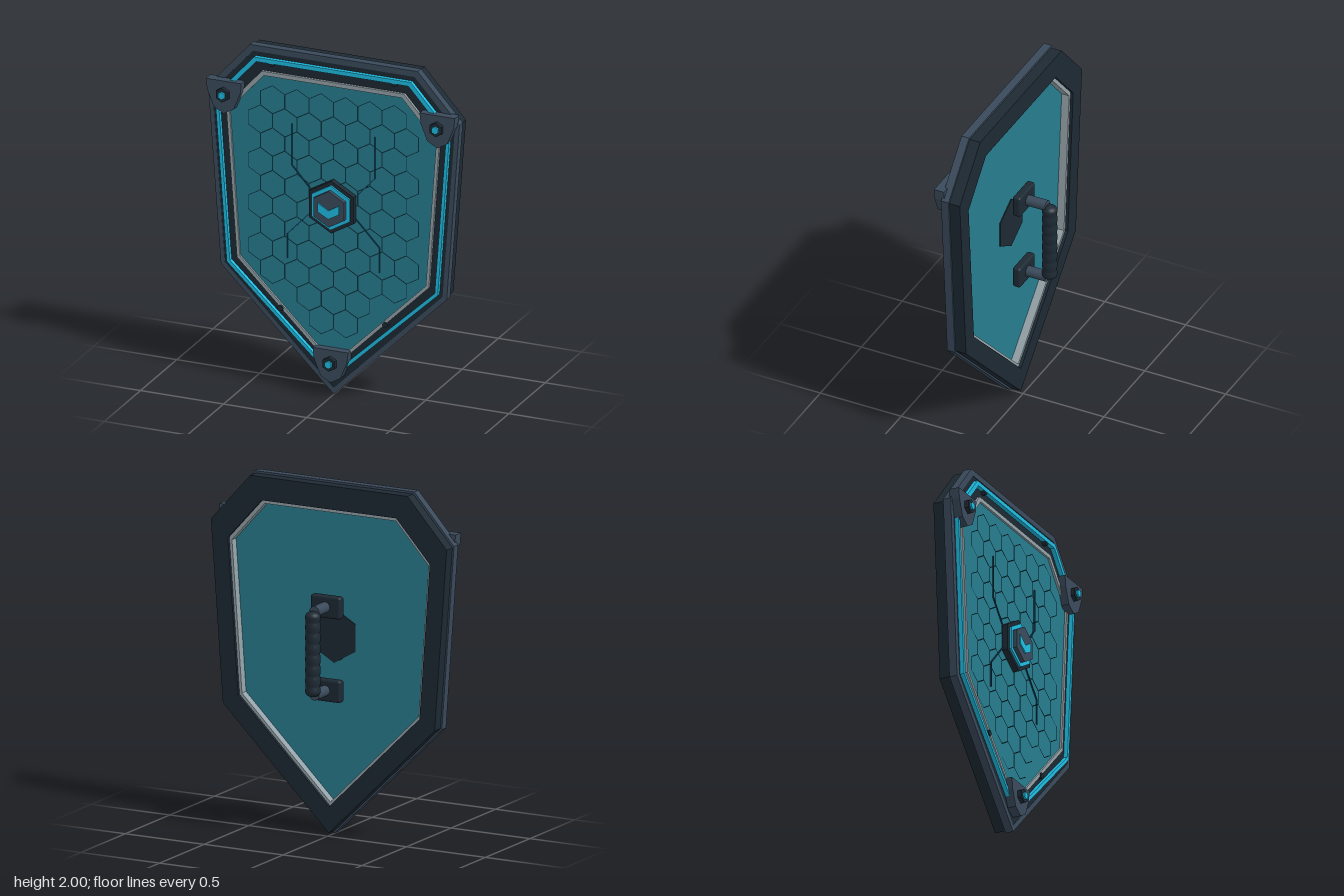
import * as THREE from 'three';
import { mergeGeometries } from 'three/addons/utils/BufferGeometryUtils.js';
import { RoundedBoxGeometry } from 'three/addons/geometries/RoundedBoxGeometry.js';

const mat = (name, color) => {
  const m = new THREE.MeshStandardMaterial({ color });
  m.name = name;
  return m;
};

// Half outline of the shield, mirrored about x = 0 and scaled about MID_Y
const MID_Y = 1.06;
const HALF = [[0.505, 2], [0.757, 1.72], [0.68, 0.67]];
const OUTLINE = [...HALF, [0, 0], ...HALF.map(([x, y]) => [-x, y]).reverse()];
const scaled = (s, lift = 0) => OUTLINE.map(([x, y]) =>
  new THREE.Vector2(x * s, MID_Y + (y - MID_Y) * s + (x === 0 ? lift : 0)));

const hexPoints = (r) => Array.from({ length: 6 }, (_, i) => {
  const a = Math.PI / 2 + (i * Math.PI) / 3;
  return new THREE.Vector2(r * Math.cos(a), r * Math.sin(a));
});

// Flat slab between two z depths; the hole runs against the outline so its walls face inward
function slab(points, z0, z1, hole) {
  const shape = new THREE.Shape(points);
  if (hole) shape.holes.push(new THREE.Path(hole.reverse()));
  return new THREE.ExtrudeGeometry(shape, { depth: z1 - z0, bevelEnabled: false }).translate(0, 0, z0);
}

export function createModel() {
  const model = new THREE.Group();
  model.name = 'shield';
  const steel = mat('blue grey steel', 0x3a4a5b);
  const dark = mat('dark frame', 0x1d2933);
  const cyan = mat('cyan glow', 0x1fbee4);
  const glass = mat('teal glass', 0x277d8f);
  const silver = mat('silver trim', 0x94a3a9);
  const line = mat('dark teal line', 0x0a3340);
  const trace = mat('deep blue trace', 0x0d425a);

  const add = (name, geometry, material, parent = model) => {
    const mesh = new THREE.Mesh(geometry, material);
    mesh.name = name;
    parent.add(mesh);
    return mesh;
  };
  const group = (name, x, y) => {
    const g = new THREE.Group();
    g.name = name;
    g.position.set(x, y, 0);
    model.add(g);
    return g;
  };

  // Nested layers of the body
  add('backFrame', slab(scaled(0.987), 0.013, 0.078, scaled(0.845)), dark);
  add('outerRim', slab(scaled(1), 0.078, 0.125, scaled(0.963)), steel);
  add('frontFrame', slab(scaled(0.963), 0.078, 0.122, scaled(0.845)), dark);
  add('glowStrip', slab(scaled(0.934, 0.03), 0.115, 0.146, scaled(0.907, 0.03)), cyan);
  add('innerTrim', slab(scaled(0.849), 0.03, 0.138, scaled(0.823)), silver);
  add('glassPanel', slab(scaled(0.826), 0.076, 0.126), glass);

  // Honeycomb lines on the glass
  const W = 0.1467, R = W / Math.sqrt(3), cells = [];
  for (let row = 0; row <= 10; row++) {
    const count = row % 2 ? 7 : 6, y = 1.695 - row * 0.1262;
    for (let i = 0; i < count; i++) {
      const x = (i - (count - 1) / 2) * W;
      if (Math.abs(x) - (y - 0.18) > -0.1) continue;
      cells.push(new THREE.RingGeometry(R - 0.004, R + 0.001, 6, 1, Math.PI / 2).translate(x, y, 0.13));
    }
  }
  add('honeycomb', mergeGeometries(cells), line);

  // Circuit traces running out from the hub
  const traces = [];
  const segment = (a, b) => {
    const dx = b[0] - a[0], dy = b[1] - a[1];
    traces.push(new THREE.BoxGeometry(Math.hypot(dx, dy) + 0.003, 0.006, 0.008)
      .rotateZ(Math.atan2(dy, dx)).translate((a[0] + b[0]) / 2, (a[1] + b[1]) / 2, 0.129));
  };
  for (const s of [-1, 1]) {
    for (const path of [
      [[0.25, 1.57], [0.25, 1.325], [0.12, 1.18]],
      [[0.277, 0.77], [0.277, 0.915], [0.11, 1.09]],
    ]) {
      const p = path.map(([x, y]) => [s * x, y]);
      segment(p[0], p[1]);
      segment(p[1], p[2]);
    }
  }
  add('circuitTraces', mergeGeometries(traces), trace);

  // Stepped hexagonal hub with a chevron
  const hub = group('hub', 0, 1.125);
  add('hubBase', slab(hexPoints(0.156), 0.071, 0.16), dark, hub);
  add('hubGlow', slab(hexPoints(0.132), 0.16, 0.172), cyan, hub);
  add('hubCap', slab(hexPoints(0.107), 0.172, 0.196), steel, hub);
  const chevron = [[-0.064, 0.032], [-0.064, -0.021], [0, -0.056], [0.064, -0.021], [0.064, 0.032], [0, -0.006]]
    .map(([x, y]) => new THREE.Vector2(x, y));
  add('chevron', slab(chevron, 0.196, 0.204), cyan, hub);

  // Corner plates with hexagonal bolts
  const plate = [[-0.106, 0.077], [-0.1, 0.015], [-0.06, -0.083], [0, -0.117],
    [0.06, -0.083], [0.1, 0.015], [0.106, 0.077]].map(([x, y]) => new THREE.Vector2(x, y));
  for (const [name, x, y] of [['leftCorner', 0.643, 1.7], ['rightCorner', -0.643, 1.7], ['bottomCorner', 0, 0.203]]) {
    const corner = group(name, x, y);
    add('cornerPlate', slab(plate, 0.11, 0.172), steel, corner);
    add('nut', slab(hexPoints(0.042), 0.172, 0.196), dark, corner);
    add('boltLight', slab(hexPoints(0.023), 0.196, 0.207), cyan, corner);
  }

  // Small rivets on the frame
  for (const s of [-1, 1]) {
    for (const [x, y] of [[0.315, 0.468], [0.37, 1.91]]) {
      add('rivet', new THREE.CylinderGeometry(0.017, 0.017, 0.03, 12).rotateX(Math.PI / 2)
        .translate(s * x, y, 0.128), dark);
    }
  }

  // Rear handle: pads, posts and a softly ribbed grip
  const handle = group('handle', 0, 1.07);
  for (const s of [-1, 1]) {
    add('mountPad', new RoundedBoxGeometry(0.19, 0.127, 0.05, 3, 0.015).translate(0, s * 0.237, -0.005), dark, handle);
    add('post', new THREE.CylinderGeometry(0.031, 0.031, 0.13, 20).rotateX(Math.PI / 2)
      .translate(0, s * 0.237, -0.085), steel, handle);
  }
  const HALF_GRIP = 0.244, profile = [];
  for (let i = 0; i <= 80; i++) {
    const t = i / 80, y = (t * 2 - 1) * HALF_GRIP;
    const end = Math.min(1, (HALF_GRIP - Math.abs(y)) / 0.03);
    const rib = 0.0395 + 0.0035 * Math.abs(Math.sin(8 * Math.PI * t));
    profile.push(new THREE.Vector2(rib * Math.sqrt(1 - (1 - end) ** 2), y));
  }
  add('grip', new THREE.LatheGeometry(profile, 24).translate(0, 0, -0.165), dark, handle);
  return model;
}
